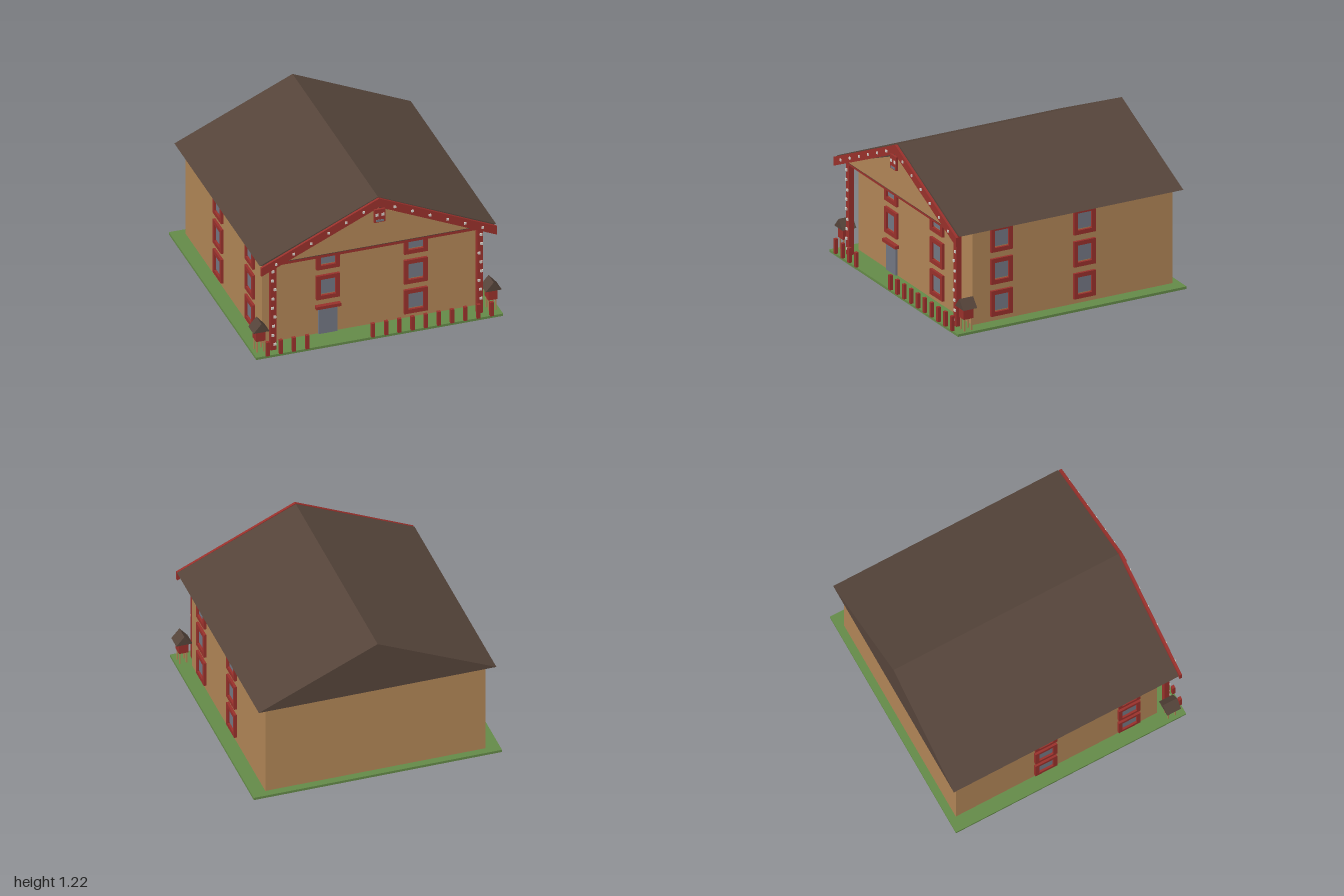
import * as THREE from 'three';

const mat = (name, color) => {
  const m = new THREE.MeshStandardMaterial({ color });
  m.name = name;
  return m;
};

export function createModel() {
  const wall = mat('tan wall', 0xb08556);
  const red = mat('red trim', 0x98302b);
  const roofBrown = mat('roof brown', 0x55443a);
  const grass = mat('grass green', 0x648a48);
  const glass = mat('grey glass', 0x727682);
  const pale = mat('pale ornament', 0xd2cbc4);

  const model = new THREE.Group();
  model.name = 'house';

  const add = (name, geometry, material, x, y, z, parent = model) => {
    const mesh = new THREE.Mesh(geometry, material);
    mesh.name = name;
    mesh.position.set(x, y, z);
    parent.add(mesh);
    return mesh;
  };
  const box = (name, material, w, h, d, x, y, z, parent) =>
    add(name, new THREE.BoxGeometry(w, h, d), material, x, y, z, parent);
  const polygon = (points) => new THREE.Shape(points.map(([x, y]) => new THREE.Vector2(x, y)));
  const extrude = (shape, depth) => new THREE.ExtrudeGeometry(shape, { depth, bevelEnabled: false });

  // Ground and main block
  box('ground', grass, 1.985, 0.02, 1.99, 0, 0.01, -0.005);
  box('walls', wall, 1.76, 0.775, 1.74, 0, 0.4075, -0.07);

  // Solid gable roof with a thin front panel
  add('roof', extrude(polygon([[-0.95, 0.795], [0.95, 0.795], [0, 1.22]]), 1.945), roofBrown, 0, 0, -0.995);
  add('gablePanel', extrude(polygon([[-0.79, 0.803], [0.79, 0.803], [0, 1.125]]), 0.005), wall, 0, 0, 0.95);

  // Sloping boards along the front roof edge
  const barge = polygon([[-0.947, 0.79], [-0.947, 0.717], [0, 1.143], [0.947, 0.717], [0.947, 0.79], [0, 1.22]]);
  add('bargeBoard', extrude(barge, 0.021), red, 0, 0, 0.958);
  for (const side of [-1, 1]) {
    for (let i = 0; i < 6; i++) {
      const x = 0.125 + i * 0.141;
      box('bargeOrnament', pale, 0.018, 0.018, 0.01, side * x, 1.182 - 0.454 * x, 0.983);
    }
  }

  // Carved face at the peak
  const face = new THREE.Group();
  face.name = 'carvedFace';
  model.add(face);
  box('faceBlock', red, 0.09, 0.112, 0.02, 0, 1.078, 0.985, face);
  for (const side of [-1, 1]) box('faceEye', pale, 0.023, 0.023, 0.005, side * 0.025, 1.088, 0.9965, face);
  box('faceMouth', glass, 0.06, 0.017, 0.005, 0, 1.037, 0.9965, face);

  // Porch beam and posts with offset ornaments
  box('porchBeam', red, 1.7, 0.035, 0.04, 0, 0.773, 0.903);
  const offsets = [-0.01, 0.006, 0.0, -0.01, 0.01, 0.006, -0.01, 0.01, 0.006];
  for (const side of [-1, 1]) {
    box('porchPost', red, 0.045, 0.775, 0.043, side * 0.83, 0.4075, 0.903);
    offsets.forEach((dx, i) =>
      box('postOrnament', pale, 0.02, 0.02, 0.01, side * (0.831 + dx), 0.072 + i * 0.08, 0.929));
  }

  // Windows: red frame with a slightly raised pane
  const frameShape = polygon([[-0.094, -0.104], [0.094, -0.104], [0.094, 0.104], [-0.094, 0.104]]);
  frameShape.holes.push(new THREE.Path(
    [[-0.061, -0.07], [-0.061, 0.07], [0.061, 0.07], [0.061, -0.07]].map(([x, y]) => new THREE.Vector2(x, y))));
  const frameGeometry = extrude(frameShape, 0.021);
  const addWindow = (x, y, z, turn) => {
    const w = new THREE.Group();
    w.name = 'window';
    w.position.set(x, y, z);
    w.rotation.y = turn;
    add('windowFrame', frameGeometry, red, 0, 0, 0, w);
    box('windowPane', glass, 0.118, 0.13, 0.008, 0, 0.005, 0.004, w);
    model.add(w);
  };
  [0.166, 0.427, 0.689].forEach((y, floor) => {
    addWindow(0.352, y, 0.8, 0);
    if (floor > 0) addWindow(-0.353, y, 0.8, 0);
    for (const z of [0.553, -0.168]) {
      for (const side of [-1, 1]) addWindow(side * 0.88, y, z, side * Math.PI / 2);
    }
  });

  // Door and lintel
  box('door', glass, 0.15, 0.228, 0.02, -0.353, 0.134, 0.805);
  box('doorLintel', red, 0.2, 0.026, 0.035, -0.354, 0.258, 0.8175);

  // Fence posts with an opening before the door
  for (let i = 0; i < 18; i++) {
    if (i > 3 && i < 8) continue;
    box('fencePost', red, 0.028, 0.12, 0.025, -0.9 + i * 1.8 / 17, 0.08, 0.9865);
  }

  // Small huts on stilts at the front corners
  for (const side of [-1, 1]) {
    const hut = new THREE.Group();
    hut.name = 'stiltHut';
    hut.position.set(side * 0.933, 0, 0.884);
    model.add(hut);
    box('hutBody', red, 0.075, 0.088, 0.085, 0, 0.162, 0, hut);
    add('hutRoof', extrude(polygon([[-0.065, 0.205], [0.065, 0.205], [0, 0.28]]), 0.12), roofBrown, 0, 0, -0.06, hut);
    for (const x of [-0.027, 0.027]) {
      for (const z of [-0.03, 0.03]) box('hutLeg', wall, 0.01, 0.1, 0.01, x, 0.07, z, hut);
    }
  }

  return model;
}
